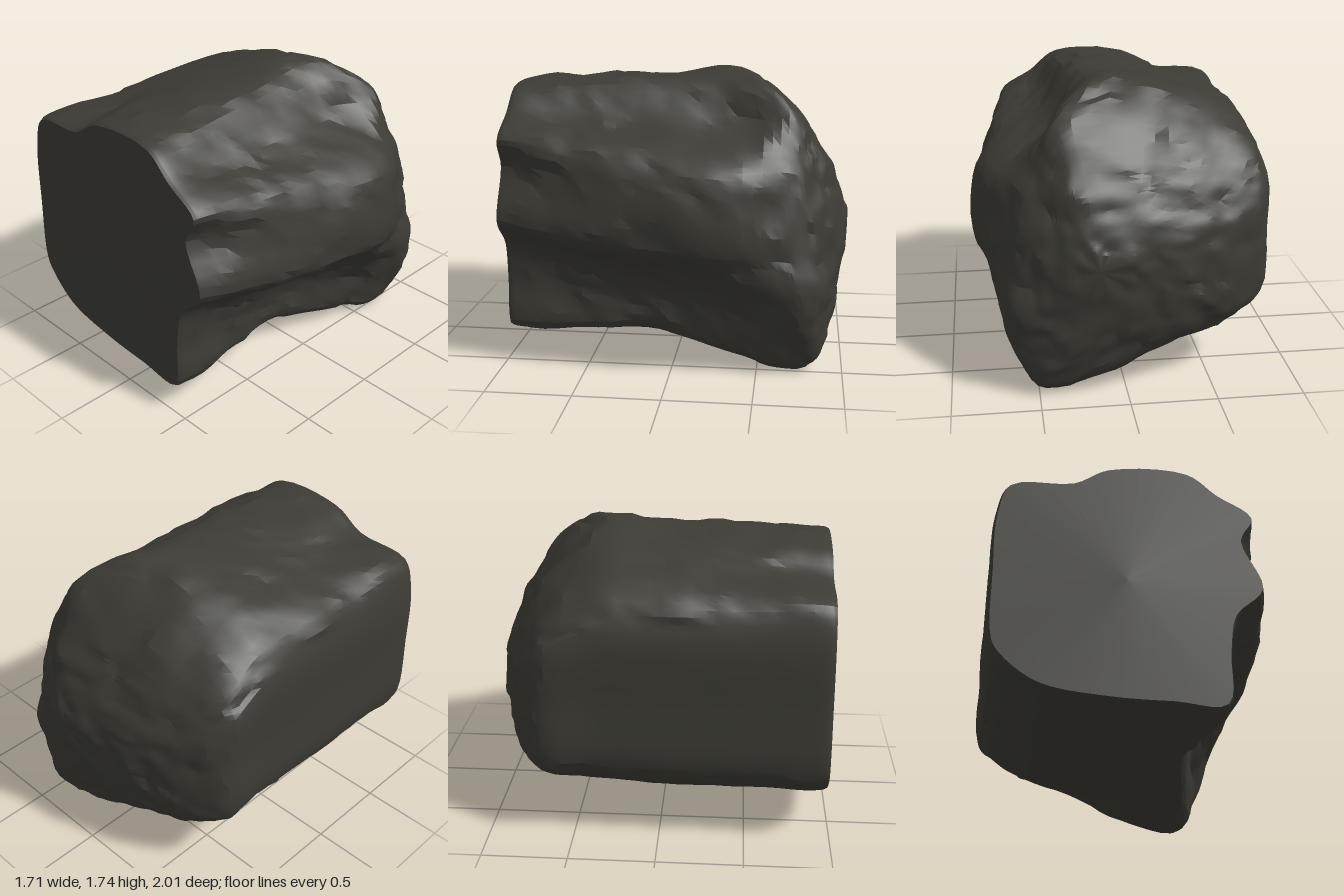
import * as THREE from 'three';
import { toCreasedNormals } from 'three/addons/utils/BufferGeometryUtils.js';

// Cross-sections (x, y), counter-clockwise from the lower left corner
const FRONT = [-.82, .5, -.77, .41, -.57, .26, -.2, .2, .15, .19, .43, .19, .46, .5, .5, .72, .66, .9,
  .55, 1.2, .62, 1.36, .42, 1.5, .25, 1.63, -.2, 1.62, -.4, 1.51, -.75, 1.47, -.82, 1.28, -.83, .9];
const MIDDLE = [-.82, .5, -.76, .41, -.56, .26, -.2, .19, .12, .16, .36, .18, .42, .43, .56, .61, .81, .8,
  .8, 1.08, .7, 1.3, .4, 1.44, .18, 1.68, -.2, 1.66, -.45, 1.59, -.74, 1.46, -.83, 1.28, -.83, .9];
const SHOULDER = [-.82, .52, -.75, .42, -.55, .28, -.2, .19, .18, .1, .46, .08, .53, .34, .66, .54, .82, .76,
  .82, 1.08, .74, 1.26, .4, 1.43, .18, 1.71, -.1, 1.71, -.45, 1.61, -.74, 1.44, -.83, 1.28, -.83, .9];
const BACK = [-.82, .52, -.74, .42, -.52, .3, -.18, .19, .2, .04, .53, .025, .61, .25, .71, .48, .7, .72,
  .64, 1.04, .58, 1.24, .48, 1.4, .36, 1.56, -.1, 1.49, -.45, 1.4, -.74, 1.27, -.82, 1.15, -.83, .88];
const REAR = [-.63, .56, -.56, .46, -.42, .36, -.12, .23, .2, .08, .5, .04, .6, .23, .68, .41, .63, .68,
  .56, .97, .47, 1.15, .4, 1.26, .3, 1.35, -.08, 1.3, -.35, 1.22, -.55, 1.1, -.62, 1, -.64, .8];

const blend = (a, b, t) => a.map((v, i) => v + (b[i] - v) * t);
const shrink = (a, s, cx, cy) => a.map((v, i) => (i % 2 ? cy + (v - cy) * s : cx + (v - cx) * s));

// Smooth seeded value noise, -1 to 1
const hash = (x, y, z) => {
  const s = Math.sin(x * 127.1 + y * 311.7 + z * 74.7) * 43758.5453;
  return (s - Math.floor(s)) * 2 - 1;
};
function noise(x, y, z) {
  const [i, j, k] = [x, y, z].map(Math.floor);
  const [u, v, w] = [x - i, y - j, z - k].map(t => t * t * (3 - 2 * t));
  let sum = 0;
  for (let n = 0; n < 8; n++) {
    const a = n & 1, b = (n >> 1) & 1, c = n >> 2;
    sum += hash(i + a, j + b, k + c) * (a ? u : 1 - u) * (b ? v : 1 - v) * (c ? w : 1 - w);
  }
  return sum;
}

// The cleft front leans slightly: further forward at the lower right
const frontLean = (x, y) => .02 * x - .015 * (y - .9);

function boulderGeometry() {
  const stations = [
    [.98, shrink(FRONT, .985, -.1, .9), 1], [.95, FRONT, 1], [.55, blend(FRONT, MIDDLE, .6), 0], [.1, MIDDLE, 0],
    [-.36, SHOULDER, 0], [-.66, BACK, 0], [-.81, REAR, 0], [-.9, shrink(REAR, .76, .18, .73), 0],
    [-.96, shrink(REAR, .46, .18, .77), 0], [-.995, shrink(REAR, .18, .17, .82), 0],
  ];
  const around = 90, along = 54;

  // Closed outline at each station, then a lengthwise curve through matching points
  const rings = stations.map(([z, s, lean]) => {
    const pts = [];
    for (let i = 0; i < s.length; i += 2) {
      pts.push(new THREE.Vector3(s[i], s[i + 1], z + lean * frontLean(s[i], s[i + 1])));
    }
    return new THREE.CatmullRomCurve3(pts, true).getPoints(around);
  });
  const columns = [];
  for (let i = 0; i < around; i++) {
    columns.push(new THREE.CatmullRomCurve3(rings.map(r => r[i])).getPoints(along));
  }

  const pos = [], index = [];
  for (let j = 0; j <= along; j++) for (let i = 0; i < around; i++) pos.push(...columns[i][j].toArray());
  const frontCentre = pos.length / 3, backCentre = frontCentre + 1;
  pos.push(-.1, .9, .982, .17, .82, -1);
  for (let i = 0; i < around; i++) {
    const n = (i + 1) % around;
    for (let j = 0; j < along; j++) {
      const a = j * around + i, b = j * around + n;
      index.push(a, a + around, b, b, a + around, b + around);
    }
    index.push(frontCentre, i, n, backCentre, along * around + n, along * around + i);
  }
  const g = new THREE.BufferGeometry();
  g.setAttribute('position', new THREE.Float32BufferAttribute(pos, 3));
  g.setIndex(index);
  g.computeVertexNormals();

  // Craggy surface: rough all over except the cleft front, left and underside
  const p = g.attributes.position, nor = g.attributes.normal;
  for (let i = 0; i < p.count; i++) {
    const x = p.getX(i), y = p.getY(i), z = p.getZ(i);
    const nx = nor.getX(i), ny = nor.getY(i), nz = nor.getZ(i);
    let rough = THREE.MathUtils.clamp((.95 - z) * 8, 0, 1);
    if (nx < -.9) rough *= .1;
    if (ny < -.8) rough *= .3;
    const ledges = Math.abs(noise(x * 3 + 7, y * 5, z * 2.5)) - .3;
    const d = rough * (.02 * ledges + .012 * noise(x * 7, y * 7, z * 7) + .012 * noise(x * 15, y * 15, z * 15));
    p.setXYZ(i, x + nx * d, Math.max(0, y + ny * d), z + nz * d);
  }
  return toCreasedNormals(g, .35);
}

export function createModel() {
  const stone = new THREE.MeshStandardMaterial({ color: 0x3c3b34 });
  stone.name = 'darkStone';
  const boulder = new THREE.Mesh(boulderGeometry(), stone);
  boulder.name = 'boulder';
  const group = new THREE.Group();
  group.name = 'rock';
  group.add(boulder);
  return group;
}
